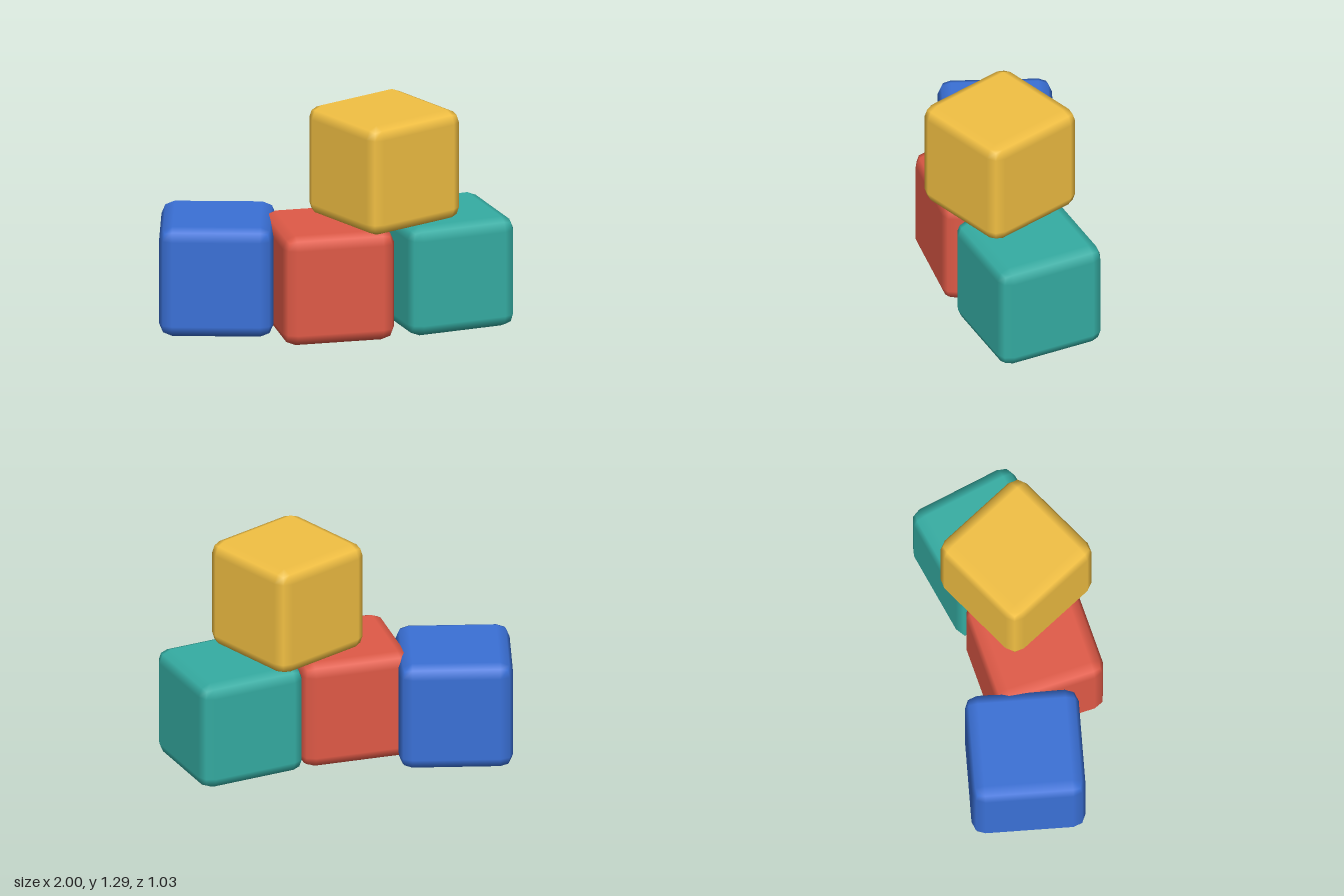
import * as THREE from 'three';
import { RoundedBoxGeometry } from 'three/addons/geometries/RoundedBoxGeometry.js';

const SIZE = 0.645;
const BEVEL = 0.074;

// name, colour, centre x, level, centre z, turn about y in degrees
const BLOCKS = [
  ['blueBlock', 0x3a70d6, -0.625, 0, -0.143, -14.5],
  ['redBlock', 0xe05a47, -0.042, 0, 0.113, 0],
  ['tealBlock', 0x35ada3, 0.637, 0, 0.051, 9.5],
  ['yellowBlock', 0xf2c043, 0.281, 1, 0.113, 25],
];

export function createModel() {
  const group = new THREE.Group();
  group.name = 'toyBlocks';

  // One softly bevelled cube, shared by all blocks
  const cube = new RoundedBoxGeometry(SIZE, SIZE, SIZE, 1, BEVEL);

  // Three blocks in a loose row and one stacked on top
  for (const [name, color, x, level, z, turn] of BLOCKS) {
    const block = new THREE.Mesh(cube, new THREE.MeshStandardMaterial({ color }));
    block.name = name;
    block.position.set(x, SIZE * (level + 0.5), z);
    block.rotation.y = THREE.MathUtils.degToRad(turn);
    group.add(block);
  }
  return group;
}
